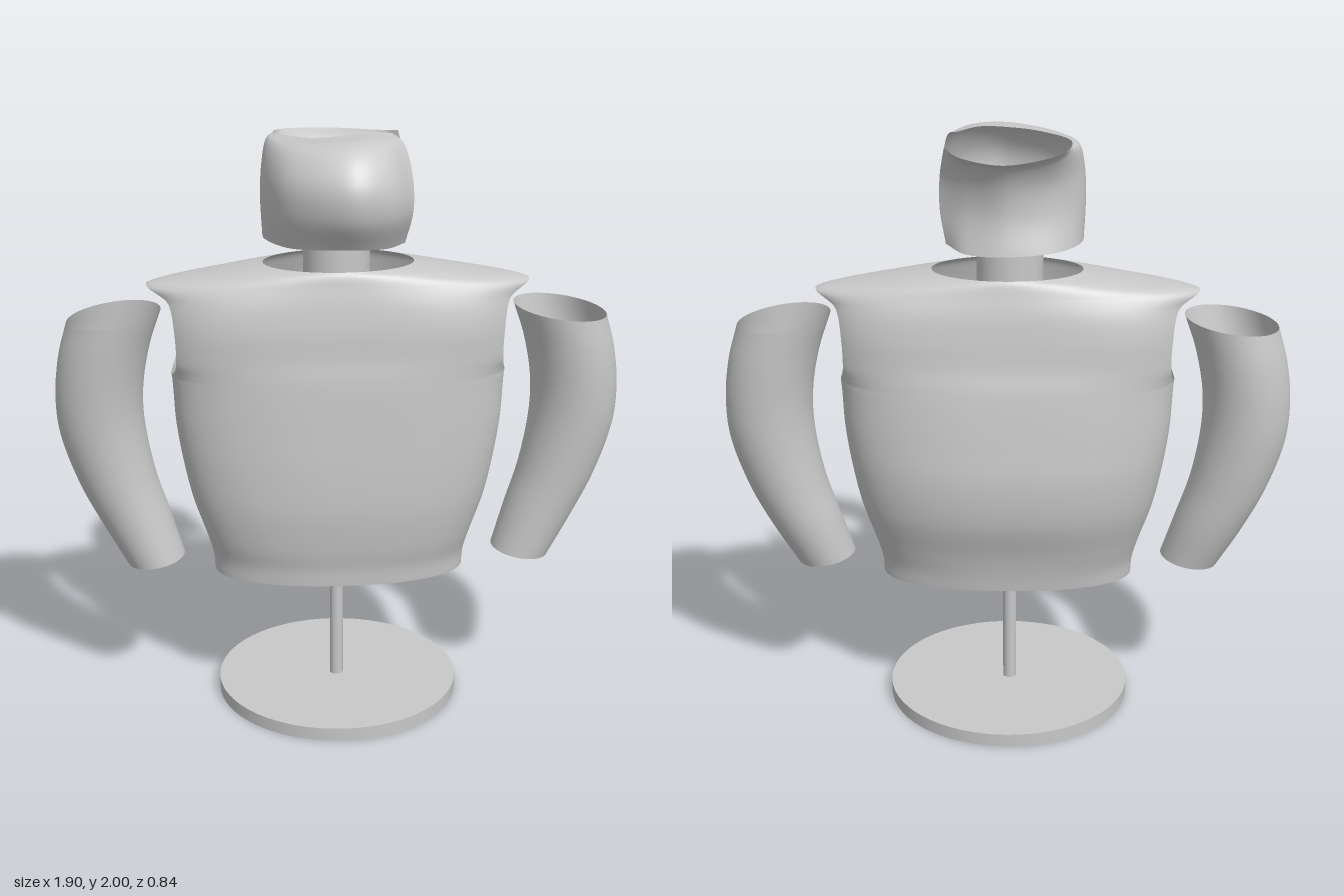
import * as THREE from 'three';
import { mergeGeometries, mergeVertices } from 'three/addons/utils/BufferGeometryUtils.js';

// Smooth interpolation through rows of numbers, t from 0 to 1
function spline(rows, t) {
  const n = rows.length - 1, s = Math.min(t * n, n - 1e-9), i = Math.floor(s), f = s - i;
  const p1 = rows[i], p2 = rows[i + 1];
  return p1.map((b, k) => {
    const c = p2[k];
    const a = i > 0 ? rows[i - 1][k] : 2 * b - c;
    const d = i + 2 <= n ? rows[i + 2][k] : 2 * c - b;
    const m1 = (c - a) / 2, m2 = (d - b) / 2;
    return b + f * m1 + f * f * (3 * (c - b) - 2 * m1 - m2) + f * f * f * (2 * (b - c) + m1 + m2);
  });
}

// Grid surface from point(u, v)
function surface(point, nu, nv, flip = false) {
  const pos = [], idx = [];
  for (let j = 0; j <= nv; j++) {
    for (let i = 0; i <= nu; i++) pos.push(...point(i / nu, j / nv));
  }
  for (let j = 0; j < nv; j++) {
    for (let i = 0; i < nu; i++) {
      const a = j * (nu + 1) + i, b = a + 1, c = a + nu + 1, d = c + 1;
      if (flip) idx.push(a, b, d, a, d, c);
      else idx.push(a, d, b, a, c, d);
    }
  }
  const g = new THREE.BufferGeometry();
  g.setAttribute('position', new THREE.Float32BufferAttribute(pos, 3));
  g.setIndex(idx);
  return g;
}

function smooth(...parts) {
  const g = mergeVertices(mergeGeometries(parts), 1e-4);
  g.computeVertexNormals();
  return g;
}

// Torso rings: half width, front depth, back depth, y at sides, y at middle, x power, z power
const TORSO = [
  [0.43, 0.20, 0.19, 0.47, 0.47, 0.9, 0.9],
  [0.435, 0.205, 0.2, 0.53, 0.53, 0.85, 0.9],
  [0.457, 0.22, 0.22, 0.61, 0.61, 0.8, 0.85],
  [0.50, 0.235, 0.262, 0.74, 0.74, 0.8, 0.85],
  [0.53, 0.235, 0.275, 0.88, 0.88, 0.78, 0.85],
  [0.55, 0.228, 0.262, 1.02, 1.02, 0.75, 0.85],
  [0.56, 0.218, 0.24, 1.18, 1.18, 0.7, 0.85],
  [0.585, 0.207, 0.22, 1.24, 1.27, 0.6, 0.9],
  [0.60, 0.2, 0.208, 1.35, 1.36, 0.55, 1.0],
  [0.61, 0.188, 0.195, 1.44, 1.44, 0.65, 1.05],
  [0.635, 0.174, 0.178, 1.49, 1.505, 0.95, 1.15],
  [0.44, 0.165, 0.168, 1.525, 1.54, 1, 1.05],
  [0.25, 0.155, 0.16, 1.555, 1.555, 1, 1],
];

function torsoHalf(side) {
  return surface((u, v) => {
    const [w, front, back, ySide, yMid, px, pz] = spline(TORSO, v);
    // armhole: each half stops short of the side between rings 6 and 10
    const k = (v * 12 - 8) / 2;
    const h = 0.58 * Math.sqrt(Math.max(0, 1 - k * k));
    const a = h + (Math.PI - 2 * h) * u;
    const c = Math.cos(a), s = Math.max(0, Math.sin(a));
    const x = w * Math.sign(c) * Math.abs(c) ** px;
    const z = side * (side > 0 ? front : back) * (s < 1e-6 ? 0 : s ** pz);
    return [x, yMid + (ySide - yMid) * c * c, z];
  }, 56, 96, side < 0);
}

// Arm rings, bottom to top: centre x, y, z, x radius, z radius, tilt
const ARM = [
  [0.632, 0.515, 0.01, 0.098, 0.108, -0.15],
  [0.695, 0.66, -0.005, 0.116, 0.125, -0.13],
  [0.755, 0.81, -0.012, 0.13, 0.138, -0.1],
  [0.797, 0.98, -0.014, 0.142, 0.15, -0.1],
  [0.803, 1.12, -0.012, 0.147, 0.158, -0.1],
  [0.782, 1.26, -0.008, 0.152, 0.165, -0.11],
  [0.745, 1.382, -0.003, 0.156, 0.168, -0.12],
];

function armGeometry(side) {
  return smooth(surface((u, v) => {
    const [cx, cy, cz, rx, rz, tilt] = spline(ARM, v);
    const a = u * Math.PI * 2, dx = rx * Math.cos(a);
    return [side * (cx + dx), cy + tilt * dx, cz + rz * Math.sin(a)];
  }, 48, 40, side < 0));
}

// Head band columns, bottom to top, going round from the front end of the gap to the back end
const BAND = [
  [0.20, 1.66, 0.19, 0.22, 1.77, 0.235, 0.22, 1.87, 0.215, 0.2, 1.965, 0.15, 0.165, 1.99, 0.08],
  [0.13, 1.66, 0.27, 0.145, 1.77, 0.325, 0.14, 1.88, 0.32, 0.125, 1.98, 0.24, 0.09, 2.0, 0.12],
  [0, 1.665, 0.30, 0, 1.77, 0.365, 0, 1.88, 0.365, 0, 1.98, 0.28, -0.01, 1.993, 0.14],
  [-0.17, 1.655, 0.22, -0.19, 1.77, 0.25, -0.19, 1.88, 0.25, -0.165, 1.965, 0.2, -0.11, 1.985, 0.115],
  [-0.25, 1.65, 0.03, -0.255, 1.77, 0.03, -0.25, 1.88, 0.02, -0.235, 1.96, 0.0, -0.205, 1.98, -0.01],
  [-0.17, 1.64, -0.11, -0.15, 1.75, -0.085, -0.14, 1.85, -0.09, -0.15, 1.93, -0.125, -0.165, 1.965, -0.16],
  [0, 1.635, -0.16, 0, 1.75, -0.135, 0, 1.85, -0.145, 0, 1.925, -0.185, 0, 1.95, -0.245],
  [0.13, 1.633, -0.12, 0.12, 1.75, -0.085, 0.12, 1.85, -0.09, 0.125, 1.92, -0.125, 0.14, 1.955, -0.17],
  [0.2, 1.645, -0.03, 0.22, 1.75, 0.0, 0.22, 1.85, 0.0, 0.21, 1.92, -0.035, 0.2, 1.97, -0.08],
];

function bandGeometry() {
  return smooth(surface((u, v) => {
    const c = spline(BAND, u);
    return spline([0, 3, 6, 9, 12].map((i) => c.slice(i, i + 3)), v);
  }, 80, 28));
}

export function createModel() {
  const model = new THREE.Group();
  model.name = 'armourBustOnStand';
  const grey = new THREE.MeshStandardMaterial({ color: 0xc8c8c8, side: THREE.DoubleSide });
  grey.name = 'plain grey';

  const add = (name, geometry, x = 0, y = 0, z = 0) => {
    const mesh = new THREE.Mesh(geometry, grey);
    mesh.name = name;
    mesh.position.set(x, y, z);
    model.add(mesh);
  };
  const post = (name, r, y0, y1, x, z, sides = 48) =>
    add(name, new THREE.CylinderGeometry(r, r, y1 - y0, sides), x, (y0 + y1) / 2, z);

  // Stand and neck
  post('standBase', 0.418, 0, 0.045, -0.005, 0, 64);
  post('standRod', 0.023, 0.04, 1.5, -0.008, 0.004, 24);
  post('neck', 0.11, 1.45, 1.72, -0.008, 0.022);
  post('neckTop', 0.082, 1.7, 1.755, -0.008, 0.022);

  // Hollow shells
  add('torso', smooth(torsoHalf(1), torsoHalf(-1)));
  add('leftArm', armGeometry(1));
  add('rightArm', armGeometry(-1));
  add('headBand', bandGeometry());
  return model;
}
